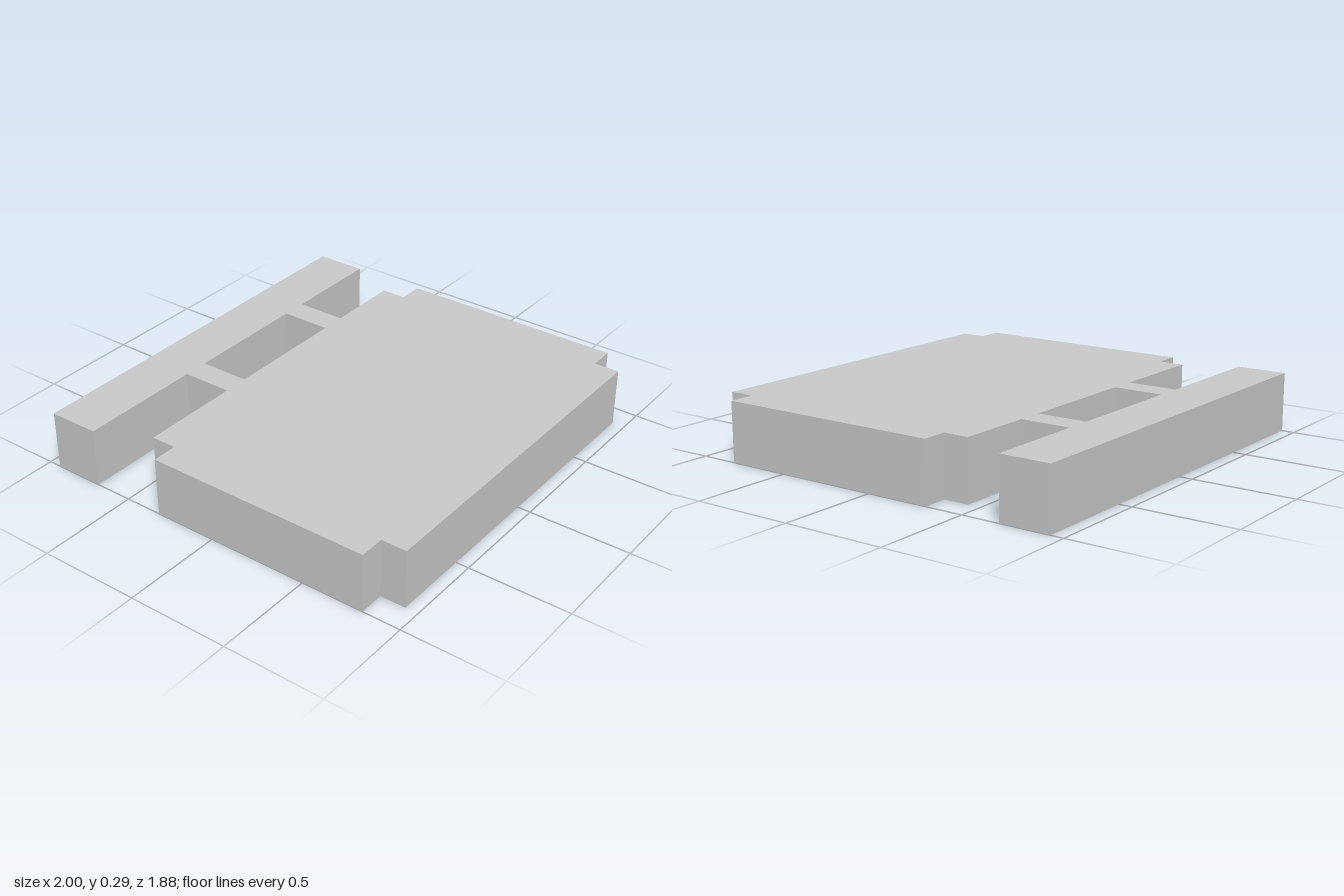
import * as THREE from 'three';

const HEIGHT = 0.29;
const material = new THREE.MeshStandardMaterial({ color: 0xcccccc, flatShading: true });

function addPart(group, name, geometry) {
  const mesh = new THREE.Mesh(geometry, material);
  mesh.name = name;
  group.add(mesh);
}

// Full-height block between two x and two z limits
function block(x0, x1, z0, z1) {
  return new THREE.BoxGeometry(x1 - x0, HEIGHT, z1 - z0)
    .translate((x0 + x1) / 2, HEIGHT / 2, (z0 + z1) / 2);
}

// Rectangular plate with a square notch cut from every corner
function notchedPlate(halfWidth, z0, z1, notch) {
  const inner = halfWidth - notch;
  const halfDepth = (z1 - z0) / 2;
  const innerDepth = halfDepth - notch;
  const outline = [];
  for (const [sx, sy] of [[1, 1], [-1, 1], [-1, -1], [1, -1]]) {
    const corner = [
      new THREE.Vector2(sx * halfWidth, sy * innerDepth),
      new THREE.Vector2(sx * inner, sy * innerDepth),
      new THREE.Vector2(sx * inner, sy * halfDepth),
    ];
    outline.push(...(sx * sy > 0 ? corner : corner.reverse()));
  }
  return new THREE.ExtrudeGeometry(new THREE.Shape(outline), { depth: HEIGHT, bevelEnabled: false })
    .rotateX(-Math.PI / 2)
    .translate(0, 0, (z0 + z1) / 2);
}

export function createModel() {
  const model = new THREE.Group();
  model.name = 'notchedSlabWithBar';

  // Main slab
  addPart(model, 'mainSlab', notchedPlate(1, -0.4375, 0.9375, 0.125));

  // Two struts, unevenly placed, joining the slab to the bar
  addPart(model, 'rightStrut', block(-0.375, -0.25, -0.6875, -0.4375));
  addPart(model, 'leftStrut', block(0.375, 0.5, -0.6875, -0.4375));

  // Long bar across the back
  addPart(model, 'backBar', block(-1, 1, -0.9375, -0.6875));

  return model;
}
